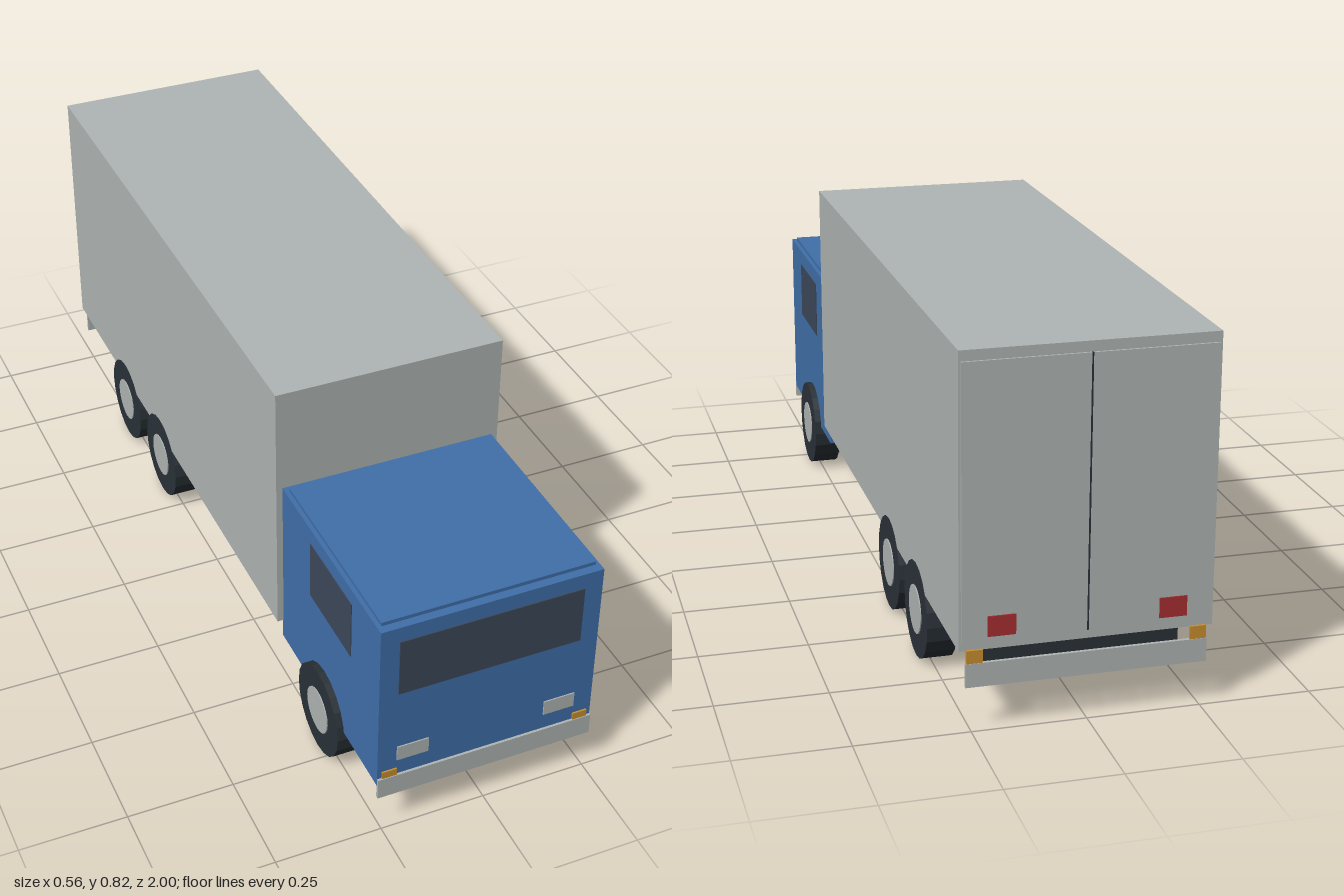
import * as THREE from 'three';

const mat = (name, color) => {
  const m = new THREE.MeshStandardMaterial({ color });
  m.name = name;
  return m;
};

export function createModel() {
  const grey = mat('light grey', 0xb0b6b5);
  const blue = mat('cab blue', 0x4070aa);
  const glass = mat('window glass', 0x3c485a);
  const dark = mat('rubber and frame', 0x2a3238);
  const orange = mat('indicator orange', 0xc99030);
  const red = mat('tail light red', 0xa82e32);

  const truck = new THREE.Group();
  truck.name = 'boxTruck';

  // Box given by its limits on each axis
  const box = (name, material, x0, x1, y0, y1, z0, z1) => {
    const mesh = new THREE.Mesh(new THREE.BoxGeometry(x1 - x0, y1 - y0, z1 - z0), material);
    mesh.position.set((x0 + x1) / 2, (y0 + y1) / 2, (z0 + z1) / 2);
    mesh.name = name;
    truck.add(mesh);
  };
  // Same box on both sides, left (+x) and right (-x)
  const pair = (name, material, x0, x1, ...rest) => {
    box(name + 'Left', material, x0, x1, ...rest);
    box(name + 'Right', material, -x1, -x0, ...rest);
  };

  // Main bodies
  box('chassis', dark, -0.215, 0.215, 0.105, 0.185, -0.95, 0.96);
  box('cargoBox', grey, -0.275, 0.275, 0.18, 0.823, -0.992, 0.47);
  box('cab', blue, -0.26, 0.26, 0.13, 0.568, 0.465, 0.994);
  box('cabRoof', blue, -0.25, 0.25, 0.56, 0.577, 0.488, 0.974);

  // Cab details
  box('windshield', glass, -0.216, 0.216, 0.385, 0.53, 0.99, 0.997);
  pair('sideWindow', glass, 0.256, 0.262, 0.385, 0.53, 0.63, 0.85);
  pair('headlight', grey, 0.14, 0.215, 0.192, 0.23, 0.99, 0.997);
  pair('frontIndicator', orange, 0.215, 0.25, 0.148, 0.168, 0.99, 0.998);
  box('frontBumper', grey, -0.26, 0.26, 0.097, 0.15, 0.992, 1);

  // Rear doors, seam, lights and bumper
  pair('rearDoor', grey, 0.002, 0.27, 0.2, 0.8, -0.997, -0.99);
  box('doorSeam', dark, -0.002, 0.002, 0.2, 0.8, -0.9965, -0.99);
  pair('tailLight', red, 0.155, 0.215, 0.21, 0.255, -1, -0.993);
  pair('rearIndicator', orange, 0.225, 0.26, 0.152, 0.182, -0.998, -0.991);
  box('rearBumper', grey, -0.262, 0.262, 0.1, 0.153, -0.999, -0.991);

  // Wheels: faceted tyre with a flat hub plate
  const tyreGeo = new THREE.CylinderGeometry(0.111, 0.111, 0.067, 20).toNonIndexed();
  tyreGeo.computeVertexNormals();
  const hubGeo = new THREE.CylinderGeometry(0.056, 0.056, 0.006, 20);
  for (const side of [1, -1]) {
    for (const z of [0.71, -0.335, -0.61]) {
      const wheel = new THREE.Group();
      wheel.name = 'wheel';
      const tyre = new THREE.Mesh(tyreGeo, dark);
      tyre.name = 'tyre';
      const hub = new THREE.Mesh(hubGeo, grey);
      hub.name = 'hub';
      hub.position.y = -0.033;
      wheel.add(tyre, hub);
      wheel.rotation.z = side * Math.PI / 2;
      wheel.position.set(side * 0.2425, 0.111, z);
      truck.add(wheel);
    }
  }
  return truck;
}
